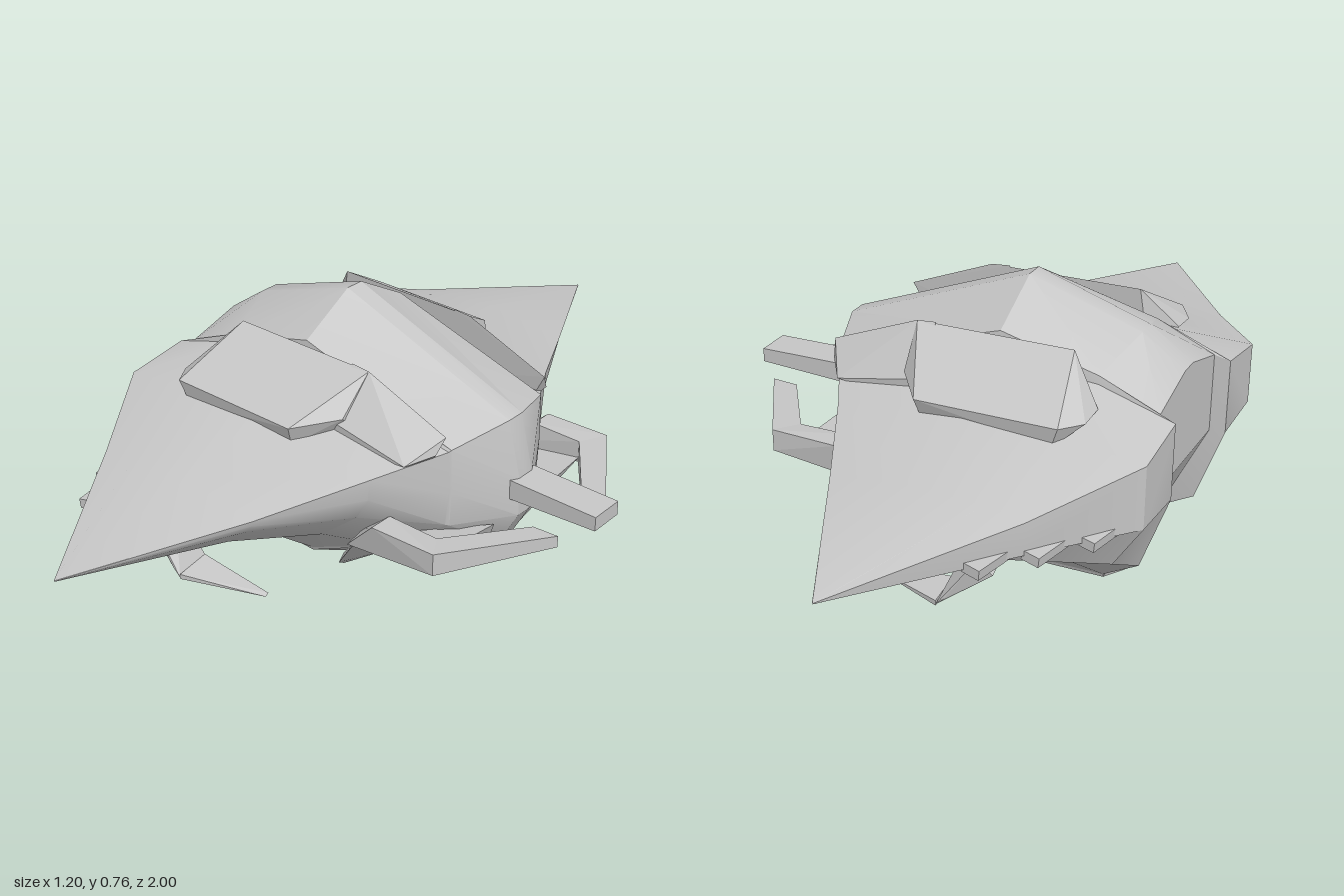
import * as THREE from 'three';
import { toCreasedNormals } from 'three/addons/utils/BufferGeometryUtils.js';
import { ConvexGeometry } from 'three/addons/geometries/ConvexGeometry.js';

const hullGrey = new THREE.MeshStandardMaterial({ color: 0xc6c6c6 });
hullGrey.name = 'hullGrey';

// Fore-and-aft profiles [x, y]: rear top, shoulder, crest, leading edge, nose,
// nose low, chin, belly, belly rear, rear low, rear middle
const keel = [[-.56, .6], [-.45, .675], [-.16, .765], [.335, .567], [.37, .42], [.37, .32], [.31, .215], [-.16, 0], [-.44, .025], [-.44, .1], [-.56, .35]];
const bodySide = [[-.56, .555], [-.41, .62], [-.16, .68], [.283, .535], [.285, .42], [.28, .33], [.1, .2], [-.16, .08], [-.44, .09], [-.45, .12], [-.56, .35]];
const wingRoot = [[-.6, .545], [-.41, .6], [-.16, .615], [.278, .53], [.28, .42], [.27, .33], [.1, .2], [-.16, .09], [-.44, .1], [-.53, .15], [-.6, .35]];
const wingInner = [[-.6, .52], [-.41, .54], [-.16, .55], [.18, .495], [.175, .44], [.14, .38], [.03, .29], [-.16, .22], [-.4, .23], [-.53, .25], [-.6, .36]];
const wingMid = [[-.43, .465], [-.33, .48], [-.16, .485], [.05, .455], [.045, .44], [.03, .42], [-.03, .37], [-.16, .335], [-.3, .345], [-.38, .36], [-.43, .385]];
const wingTip = wingMid.map(([x, y]) => [-.155 + (x + .155) * .004, .418 + (y - .418) * .02]);

// Skin the profiles from one wing tip to the other
function loft(sections) {
  const pos = [], index = [], n = keel.length;
  for (const [z, pts] of sections) for (const [x, y] of pts) pos.push(x, y, z);
  for (let i = 0; i < sections.length - 1; i++) {
    for (let j = 0; j < n; j++) {
      const a = i * n + j, b = i * n + (j + 1) % n;
      // Mirror the diagonals so both wings match
      if (sections[i][0] >= 0) index.push(a, a + n, b, b, a + n, b + n);
      else index.push(a, a + n, b + n, a, b + n, b);
    }
  }
  const g = new THREE.BufferGeometry();
  g.setAttribute('position', new THREE.Float32BufferAttribute(pos, 3));
  g.setIndex(index);
  return toCreasedNormals(g, .42);
}

// Faceted solid around corner points, mirrored by side
function solid(points, side) {
  return new ConvexGeometry(points.map(([x, y, z]) => new THREE.Vector3(x, y, z * side)));
}

export function createModel() {
  const model = new THREE.Group();
  model.name = 'spacecraft';
  const add = (name, geometry) => {
    const mesh = new THREE.Mesh(geometry, hullGrey);
    mesh.name = name;
    model.add(mesh);
    return mesh;
  };

  // Hull and wings
  const half = [[.025, keel], [.178, bodySide], [.182, wingRoot], [.35, wingInner], [.6, wingMid], [1, wingTip]];
  const mirrored = half.map(([z, p]) => [-z, p]).reverse();
  add('hullAndWings', loft([...mirrored, [0, keel], ...half]));

  // Nose gun
  add('noseGun', solid([-1, 1].flatMap(s => [
    [.3, .37, .047 * s], [.3, .425, .047 * s], [.6, .378, .047 * s], [.6, .415, .047 * s],
  ]), 1));

  for (const side of [1, -1]) {
    const tag = side > 0 ? 'Left' : 'Right';

    // Sloping armour pods beside the body
    add('rearPod' + tag, solid([
      [-.355, .68, .195], [.05, .67, .195], [-.44, .575, .25], [-.44, .57, .32], [-.4, .575, .38], [-.04, .565, .38],
      [.04, .575, .28], [-.38, .52, .2], [.05, .52, .2], [-.38, .52, .37], [-.05, .51, .36],
    ], side));
    add('frontPod' + tag, solid([
      [.0, .675, .195], [.05, .67, .195], [.28, .575, .195], [.0, .565, .285], [.225, .515, .28], [.27, .535, .22],
      [.0, .5, .2], [.24, .5, .2], [.0, .5, .28],
    ], side));

    // Hooked forward arms
    add('armBase' + tag, solid([
      [.19, .375, .355], [.37, .375, .355], [.19, .375, .29], [.33, .37, .29], [.1, .275, .29], [.1, .285, .34],
      [.37, .318, .355], [.33, .312, .29], [.1, .3, .28],
    ], side));
    add('armTip' + tag, solid([
      [.37, .375, .355], [.33, .37, .29], [.37, .318, .355], [.33, .312, .29],
      [.535, .365, .1], [.465, .363, .1], [.535, .335, .1], [.465, .332, .1],
    ], side));

    // Web and strut joining the arm to the lower nose
    add('armWeb' + tag, solid([
      [.33, .325, .3], [.34, .31, .08], [.31, .235, .07], [.1, .275, .29], [.14, .3, .28], [.16, .24, .2],
    ], side));
    add('armStrut' + tag, solid([
      [-.04, .098, .195], [-.04, .13, .195], [-.04, .11, .215], [.08, .25, .3], [.1, .28, .31], [.18, .27, .27], [.14, .25, .25],
    ], side));

    // Ventral hook: a drop blade and a forward point
    add('ventralBlade' + tag, solid([
      [-.34, .29, .57], [-.34, .31, .53], [-.31, .34, .56], [-.27, .345, .54], [-.21, .215, .51], [-.2, .187, .51],
      [-.21, .19, .595], [-.23, .21, .595], [-.31, .33, .59],
    ], side));
    add('ventralPoint' + tag, solid([
      [-.21, .215, .51], [-.2, .187, .505], [-.21, .187, .595], [-.21, .2, .595], [0, .187, .52], [0, .193, .51],
    ], side));

    // Trailing-edge guns
    [[-.53, .375, .43], [-.455, .383, .55], [-.375, .397, .67]].forEach(([x, y, z], i) => {
      const gun = add('wingGun' + tag + (i + 1), new THREE.BoxGeometry(.046, .024, .11));
      gun.position.set(x, y, z * side);
      gun.rotation.set(0, .2 * side, .1);
    });
  }
  return model;
}
